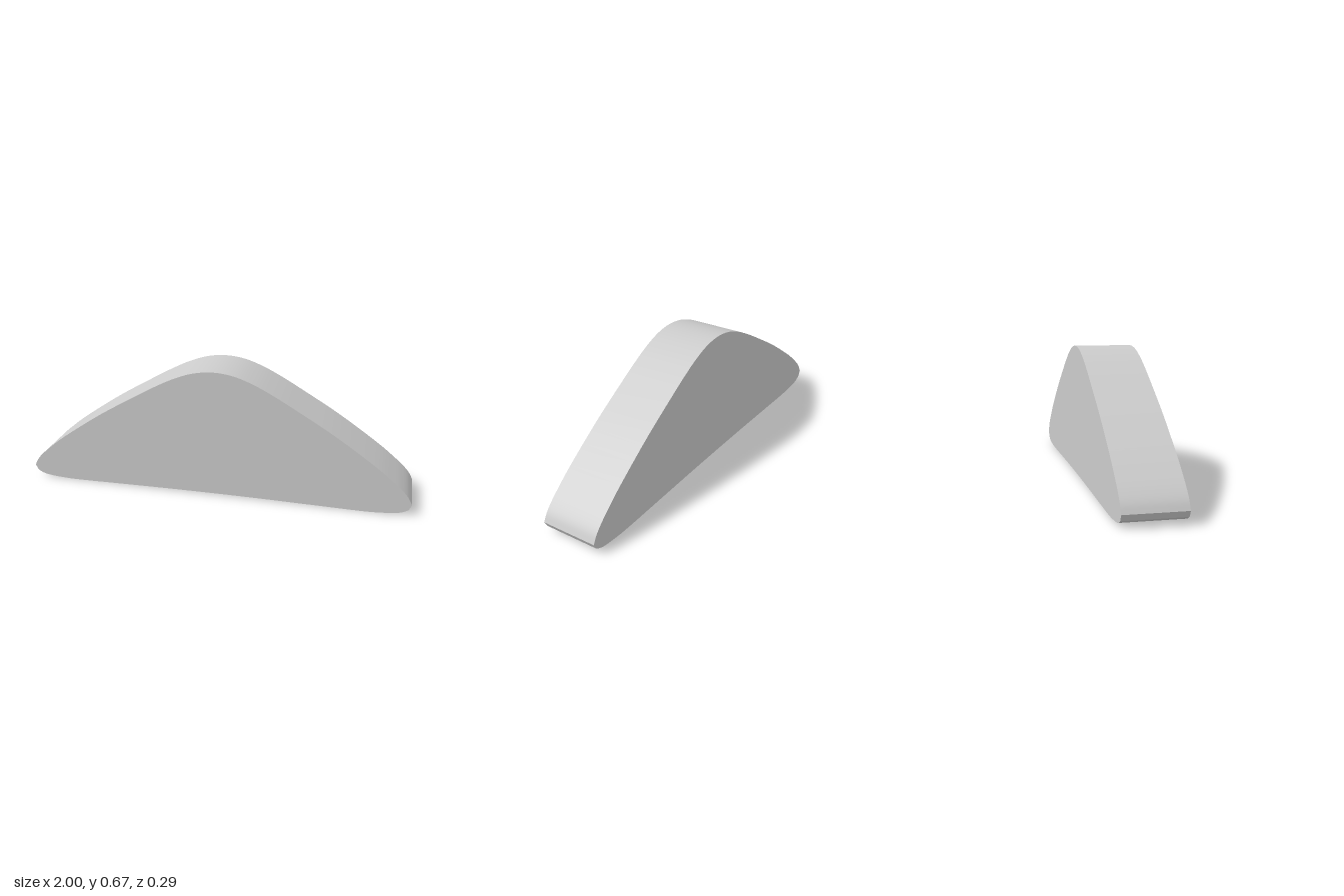
import * as THREE from 'three';
import { toCreasedNormals } from 'three/addons/utils/BufferGeometryUtils.js';

const DEPTH = 0.288;

// Smooth curve through half-profile points mirrored across x = 0 (given from x = 0 outward)
function mirroredCurve(half, divisions) {
  const left = half.slice(1).reverse().map(([x, y]) => new THREE.Vector2(-x, y));
  const right = half.map(([x, y]) => new THREE.Vector2(x, y));
  return new THREE.SplineCurve([...left, ...right]).getPoints(divisions);
}

export function createModel() {
  const group = new THREE.Group();
  group.name = 'roundedWedge';

  // Rounded hump on top, nearly flat underside, blunt tips at both ends
  const top = mirroredCurve([
    [0, 0.67], [0.1, 0.658], [0.2, 0.623], [0.3, 0.573], [0.4, 0.516], [0.6, 0.396],
    [0.8, 0.259], [0.9, 0.18], [0.95, 0.135], [0.98, 0.1], [1, 0.063],
  ], 120);
  const bottom = mirroredCurve([
    [0, 0.008], [0.25, 0.007], [0.5, 0.004], [0.75, 0.001], [0.85, 0.004], [0.94, 0.014], [0.985, 0.034],
  ], 72);

  const outline = new THREE.Shape([...bottom, ...top.reverse()]);
  const extruded = new THREE.ExtrudeGeometry(outline, { depth: DEPTH, bevelEnabled: false });
  extruded.translate(0, 0, -DEPTH / 2);

  // Smooth rim with sharp edges around the flat faces
  const geometry = toCreasedNormals(extruded, 0.5);
  const body = new THREE.Mesh(geometry, new THREE.MeshStandardMaterial({ color: 0xcccccc }));
  body.name = 'body';
  group.add(body);
  return group;
}
